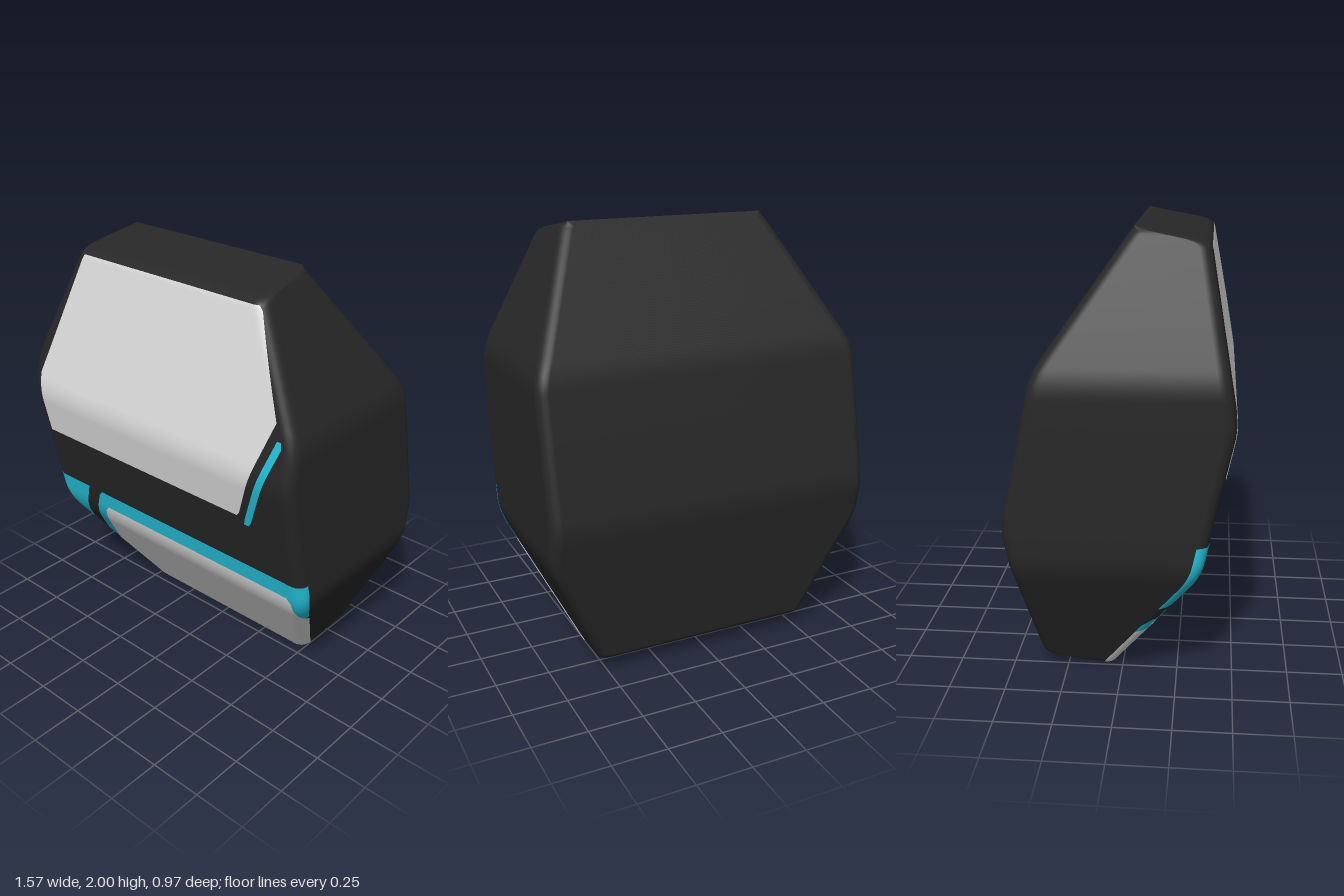
import * as THREE from 'three';

const dark = new THREE.MeshStandardMaterial({ color: 0x272727 });
dark.name = 'charcoal shell';
const pale = new THREE.MeshStandardMaterial({ color: 0xe0e0e0, side: THREE.DoubleSide });
pale.name = 'pale panel';
const cyan = new THREE.MeshStandardMaterial({ color: 0x25c2da, side: THREE.DoubleSide });
cyan.name = 'cyan accent';

// Outlines as [y, value]: front depth and half width
const FRONT = [[0, -0.05], [0.57, 0.352], [1.23, 0.492], [1.94, 0.365], [2, 0.05]];
const WIDTH = [[0, 0.48], [0.025, 0.512], [0.6, 0.785], [1.4, 0.785], [1.975, 0.512], [2, 0.48]];

function lerpTable(table, y, col = 1) {
  let i = 0;
  while (i < table.length - 2 && y > table[i + 1][0]) i++;
  const [a, b] = [table[i], table[i + 1]];
  return a[col] + (b[col] - a[col]) * (y - a[0]) / (b[0] - a[0]);
}

// Averaging over a small window rounds the corners of an outline
function rounded(table, y) {
  const h = Math.min(0.06, 0.3 * Math.min(y, 2 - y));
  let sum = 0;
  for (let k = -6; k <= 6; k++) sum += lerpTable(table, y + h * k / 6);
  return sum / 13;
}

function section(y) {
  const zf = rounded(FRONT, y), zb = -rounded(FRONT, 2 - y);
  return { zf, zb, w: rounded(WIDTH, y), r: Math.min(0.05, 0.45 * (zf - zb)) };
}

// Joins rows of points into a smooth surface
function loft(rows) {
  const n = rows[0].length, index = [];
  for (let i = 0; i < rows.length - 1; i++) {
    for (let j = 0; j < n - 1; j++) {
      const a = i * n + j, b = a + n;
      index.push(a, b, a + 1, b, b + 1, a + 1);
    }
  }
  const geometry = new THREE.BufferGeometry();
  geometry.setAttribute('position', new THREE.Float32BufferAttribute(rows.flat(2), 3));
  geometry.setIndex(index);
  geometry.computeVertexNormals();
  return geometry;
}

// Shell: rounded rectangles stacked from bottom to top
function shellGeometry() {
  const rows = [];
  for (let i = 0; i <= 200; i++) {
    const y = i / 100, { zf, zb, w, r } = section(y), ring = [];
    for (let c = 0; c < 4; c++) {
      const cx = (c === 0 || c === 3 ? 1 : -1) * (w - r);
      const cz = c < 2 ? zf - r : zb + r;
      for (let k = 0; k <= 6; k++) {
        const a = (c + k / 6) * Math.PI / 2;
        ring.push([cx + r * Math.cos(a), y, cz + r * Math.sin(a)]);
      }
    }
    ring.push([...ring[0]]);
    rows.push(ring);
  }
  return loft(rows);
}

// Thin plate hugging the front; outline rows are [y, left x, right x]
function plateGeometry(outline, lift) {
  const y0 = outline[0][0], y1 = outline[outline.length - 1][0];
  const steps = Math.ceil((y1 - y0) / 0.01), columns = 40, rows = [];
  for (let i = 0; i <= steps; i++) {
    const y = y0 + (y1 - y0) * i / steps, { zf, w, r } = section(y);
    const clamp = (x) => Math.max(-w, Math.min(w, x));
    const xl = clamp(lerpTable(outline, y, 1)), xr = clamp(lerpTable(outline, y, 2));
    const row = [];
    for (let j = 0; j <= columns; j++) {
      const x = xl + (xr - xl) * (1 + Math.cos(Math.PI * j / columns)) / 2;
      const nx = Math.min(1, Math.max(0, (Math.abs(x) - (w - r)) / r));
      const nz = Math.sqrt(1 - nx * nx);
      row.push([x + Math.sign(x) * lift * nx, y, zf - r + (r + lift) * nz]);
    }
    rows.push(row);
  }
  return loft(rows);
}

const PLATES = [
  ['upperPanel', pale, 0.003, [[1, -0.73, 0.48], [1.02, -0.73, 0.495], [1.32, -0.73, 0.61],
    [1.5, -0.657, 0.68], [1.9, -0.497, 0.53], [1.92, -0.485, 0.515]]],
  ['accentStripe', cyan, 0.003, [[0.965, 0.515, 0.54], [0.99, 0.52, 0.556],
    [1.4, 0.683, 0.72], [1.43, 0.695, 0.715]]],
  ['accentBand', cyan, 0.002, [[0.22, -0.61, 0.5], [0.31, -0.645, 0.5], [0.48, -0.573, 0.74],
    [0.6, -0.52, 0.9], [0.69, -0.482, 0.9], [0.72, -0.455, 0.9]]],
  ['accentCorner', cyan, 0.002, [[0.385, -0.9, -0.685], [0.72, -0.9, -0.548]]],
  ['lowerPanel', pale, 0.005, [[0.015, -0.7, 0.7], [0.22, -0.62, 0.72], [0.48, -0.508, 0.72],
    [0.605, -0.455, 0.72], [0.635, -0.43, 0.7]]],
];

export function createModel() {
  const group = new THREE.Group();
  group.name = 'facetedCase';
  const add = (name, geometry, material) => {
    const mesh = new THREE.Mesh(geometry, material);
    mesh.name = name;
    group.add(mesh);
  };
  add('shell', shellGeometry(), dark);
  for (const [name, material, lift, outline] of PLATES) {
    add(name, plateGeometry(outline, lift), material);
  }
  return group;
}
